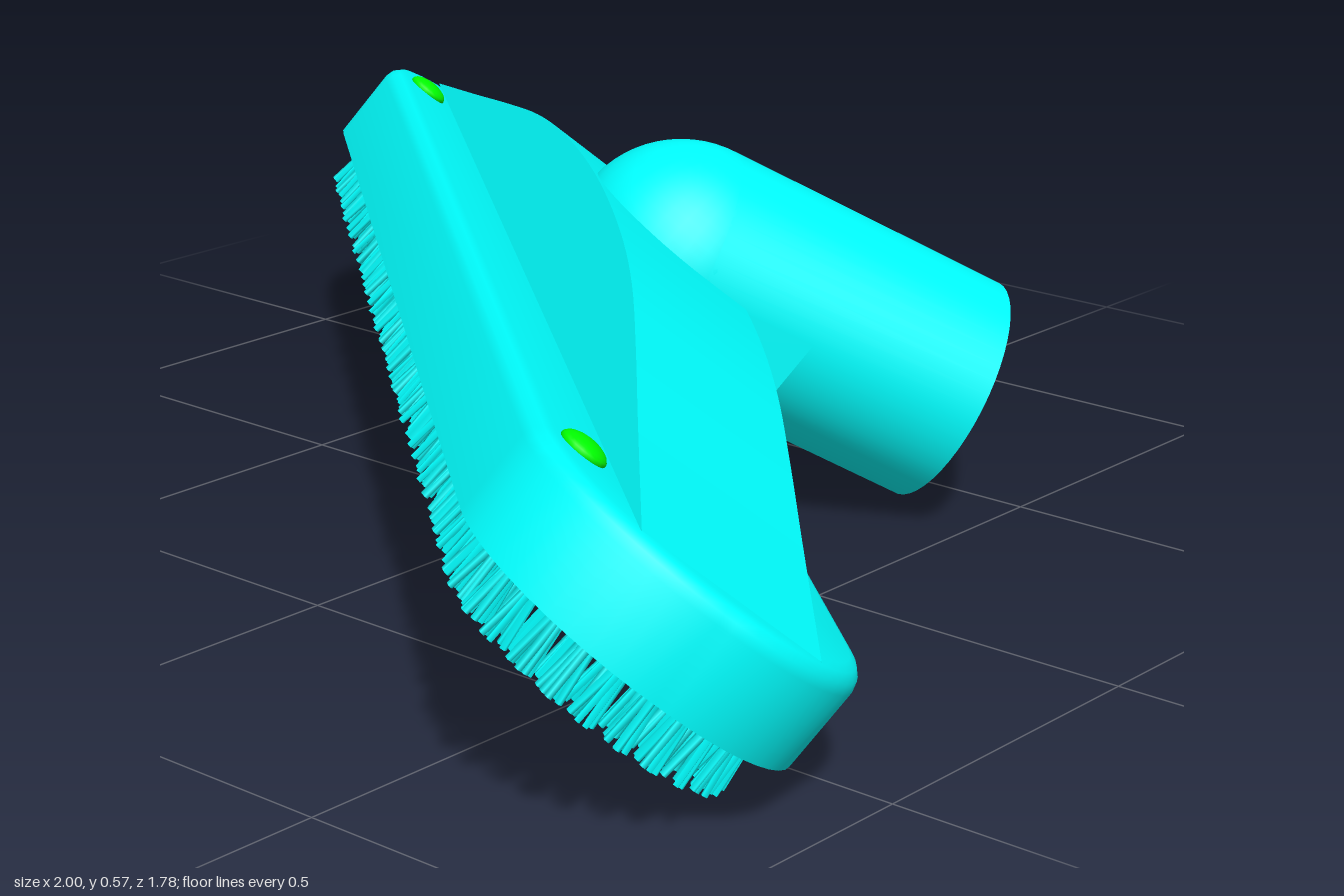
import * as THREE from 'three';
import { mergeGeometries, toCreasedNormals } from 'three/addons/utils/BufferGeometryUtils.js';

// Local frame: x along the head, y out of the top plate (y = 0 is its upper face), -z toward the hose tube.
const HALF_L = 1.225, HALF_W = 0.26, CORNER = 0.25, THICK = 0.147;
const TILT = THREE.MathUtils.degToRad(39), TURN = THREE.MathUtils.degToRad(40.7);

const shell = new THREE.MeshStandardMaterial({ color: 0x00ffff, side: THREE.DoubleSide });
const green = new THREE.MeshStandardMaterial({ color: 0x00ff00 });

let seed = 7;
const rand = () => (seed = (seed * 16807) % 2147483647) / 2147483647;

// Rounded outline of the head, moved inward by inset, as [x, depth] pairs
function outline(inset, steps = 12) {
  const r = CORNER - inset, cx = HALF_L - CORNER, cd = HALF_W - CORNER;
  const points = [];
  [[1, 1], [-1, 1], [-1, -1], [1, -1]].forEach(([sx, sd], q) => {
    for (let i = 0; i <= steps; i++) {
      const a = (q + i / steps) * Math.PI / 2;
      points.push([sx * cx + r * Math.cos(a), sd * cd + r * Math.sin(a)]);
    }
  });
  return points;
}

// Skin over rows of points
function loft(rows, closed, crease) {
  const n = rows[0].length, index = [];
  for (let j = 0; j < rows.length - 1; j++) {
    for (let i = 0; i < (closed ? n : n - 1); i++) {
      const k = (i + 1) % n;
      const a = j * n + i, b = j * n + k, c = b + n, d = a + n;
      index.push(a, b, c, a, c, d);
    }
  }
  const g = new THREE.BufferGeometry();
  g.setAttribute('position', new THREE.Float32BufferAttribute(rows.flat(2), 3));
  g.setIndex(index);
  g.computeVertexNormals();
  return toCreasedNormals(g, crease);
}

function add(parent, name, geometry, material = shell) {
  const mesh = new THREE.Mesh(geometry, material);
  mesh.name = name;
  parent.add(mesh);
  return mesh;
}

// Flange ring with a rounded upper edge and a long suction slot
function flangeGeometry() {
  const profile = [
    [0, -THICK], [0, -0.028], [0.004, -0.014], [0.014, -0.004],
    [0.028, 0], [0.14, 0], [0.14, -THICK], [0, -THICK],
  ];
  return loft(profile.map(([inset, y]) => outline(inset).map(([x, d]) => [x, y, -d])), true, 0.6);
}

// Hollow arched hood over the slot, falling to nothing at both ends
function hoodGeometry() {
  const half = [[0, 0.168], [0.3, 0.157], [0.5, 0.135], [0.7, 0.098], [0.9, 0.057], [1.18, 0.001]];
  const stations = [...half.slice(1).reverse().map(([x, h]) => [-x, h]), ...half];
  const curve = new THREE.CatmullRomCurve3(stations.map(([x, h]) => new THREE.Vector3(x, h, 0)));
  const rows = curve.getPoints(50).map(({ x, y }) => {
    const top = 0.138 - 0.07 * y;
    return [[x, 0, -0.138], [x, y, -top], [x, y, top], [x, 0, 0.138]];
  });
  return loft(rows, false, 0.5);
}

// Flared tufts of strands in two rows around the underside
function bristleGeometry() {
  const length = 0.086, strands = [];
  const strand = new THREE.CylinderGeometry(0.005, 0.006, length, 4).translate(0, length / 2, 0);
  const up = new THREE.Vector3(0, 1, 0), one = new THREE.Vector3(1, 1, 1);
  for (const [inset, count] of [[0.062, 104], [0.105, 98]]) {
    const loop = outline(inset).map(([x, d]) => new THREE.Vector2(x, -d));
    loop.push(loop[0].clone());
    const spots = new THREE.Path(loop).getSpacedPoints(count).slice(0, count);
    for (const p of spots) {
      for (let s = 0; s < 7; s++) {
        const a = s * Math.PI * 2 / 7 + rand(), lean = 0.05 + 0.12 * rand();
        const cx = Math.cos(a), cz = Math.sin(a);
        const dir = new THREE.Vector3(cx * lean, -1, cz * lean).normalize();
        const turn = new THREE.Quaternion().setFromUnitVectors(up, dir);
        const root = new THREE.Vector3(p.x + cx * 0.006, -THICK + 0.004, p.y + cz * 0.006);
        strands.push(strand.clone().applyMatrix4(new THREE.Matrix4().compose(root, turn, one)));
      }
    }
  }
  return mergeGeometries(strands);
}

export function createModel() {
  const model = new THREE.Group();
  model.name = 'floorBrush';
  const head = new THREE.Group();
  head.name = 'brushHead';
  model.add(head);

  add(head, 'flange', flangeGeometry());
  add(head, 'hood', hoodGeometry());
  add(head, 'bristles', bristleGeometry());

  // Partition across the middle of the slot
  const rib = add(head, 'slotRib', new THREE.BoxGeometry(0.025, 0.24, 0.25));
  rib.position.y = -0.02;

  // Neck, domed elbow and open hose tube
  const R = 0.177, elbowY = 0.146, elbowD = 0.056;
  const side = new THREE.Shape([
    [-0.05, 0], [0.24, 0], [0.24, 0.182], [elbowD, elbowY], [-0.05, elbowY],
  ].map(([d, y]) => new THREE.Vector2(d, y)));
  const neck = new THREE.ExtrudeGeometry(side, { depth: 2 * R, bevelEnabled: false });
  neck.translate(0, 0, -R).rotateY(Math.PI / 2);
  add(head, 'neck', neck);

  const dome = new THREE.SphereGeometry(R, 40, 16, 0, Math.PI * 2, 0, Math.PI / 2);
  add(head, 'elbow', dome).position.set(0, elbowY, -elbowD);

  const tubeProfile = [[R, 0], [R, 0.463], [0.162, 0.463], [0.162, 0.2], [0, 0.2]];
  const tubeGeometry = new THREE.LatheGeometry(tubeProfile.map(([r, y]) => new THREE.Vector2(r, y)), 48);
  const tube = add(head, 'hoseTube', toCreasedNormals(tubeGeometry, 0.6));
  tube.position.set(0, elbowY, -elbowD);
  tube.rotation.x = -THREE.MathUtils.degToRad(79);

  // Round buttons: two near the front ends, two behind the hood
  const button = new THREE.SphereGeometry(0.034, 20, 12).scale(1, 0.45, 1);
  for (const s of [-1, 1]) {
    add(head, 'frontButton', button, green).position.set(s * 0.98, 0.002, 0.19);
    add(head, 'backButton', button, green).position.set(s * 0.383, 0.002, -0.19);
  }

  // Tilt and turn the head, then centre it and rest it on the floor
  head.rotation.set(-TILT, -TURN, 0, 'YXZ');
  model.updateMatrixWorld(true);
  const box = new THREE.Box3().setFromObject(model, true);
  const centre = box.getCenter(new THREE.Vector3());
  head.position.set(-centre.x, -box.min.y, -centre.z);
  return model;
}
